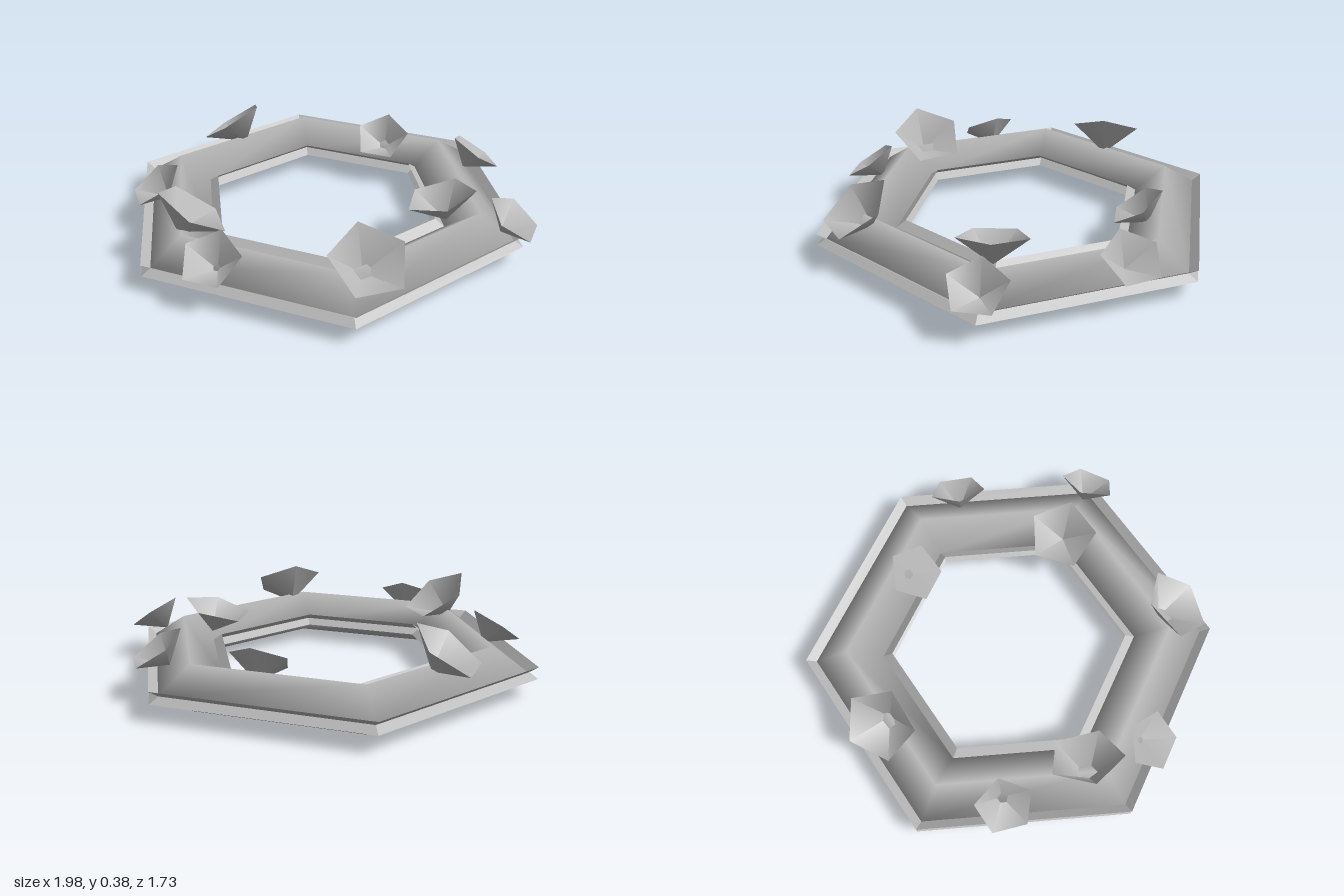
import * as THREE from 'three';

const grey = new THREE.MeshStandardMaterial({ color: 0xb8b8b8, side: THREE.DoubleSide });
grey.name = 'plain grey';

const MID_Y = 0.105;

// Flat-sided hexagonal band from a profile of [radius, y] points
function hexBand(name, points) {
  const profile = points.map(([r, y]) => new THREE.Vector2(r, y));
  const geometry = new THREE.LatheGeometry(profile, 6).rotateY(Math.PI / 2).toNonIndexed();
  geometry.computeVertexNormals();
  const mesh = new THREE.Mesh(geometry, grey);
  mesh.name = name;
  return mesh;
}

// Open five-sided cup: rim centre, direction it leans (nx, nz), rim radius, lean angle
function flower(x, y, z, nx, nz, radius, lean = 0.6) {
  const depth = radius * 0.75;
  const geometry = new THREE.ConeGeometry(radius, depth, 5, 1, true);
  geometry.rotateX(Math.PI).translate(0, -depth / 2, 0);
  const mesh = new THREE.Mesh(geometry, grey);
  mesh.name = 'flower';
  mesh.position.set(x, y, z);
  mesh.rotation.set(lean, Math.atan2(nx, nz), 0, 'YXZ');
  return mesh;
}

export function createModel() {
  const model = new THREE.Group();
  model.name = 'flowerWreath';

  // Smooth hexagonal ring with a diamond cross-section
  const ring = new THREE.Group();
  ring.name = 'ring';
  const bodyGeometry = new THREE.TorusGeometry(0.765, 0.16, 4, 6);
  bodyGeometry.scale(1, 1, MID_Y / 0.16).rotateX(Math.PI / 2).translate(0, MID_Y, 0);
  const body = new THREE.Mesh(bodyGeometry, grey);
  body.name = 'ringBody';
  ring.add(body);

  // V-shaped fins along the outer and inner edges
  ring.add(hexBand('outerUpperFin', [[0.925, MID_Y], [0.97, 0.135]]));
  ring.add(hexBand('outerLowerFin', [[0.97, 0.08], [0.925, MID_Y]]));
  ring.add(hexBand('innerUpperFin', [[0.56, 0.135], [0.605, MID_Y]]));
  ring.add(hexBand('innerLowerFin', [[0.605, MID_Y], [0.56, 0.08]]));
  ring.position.set(-0.03, 0, -0.03);
  model.add(ring);

  // Flowers scattered around the ring
  const flowers = new THREE.Group();
  flowers.name = 'flowers';
  [
    [0.08, 0.23, -0.58, 0, 1, 0.138],
    [0.57, 0.233, -0.6, 0.82, -0.57, 0.138],
    [0.89, 0.223, -0.025, 1, 0, 0.135],
    [0.55, 0.265, -0.02, -1, 0.15, 0.165, 0.27],
    [0.44, 0.28, 0.62, 0.65, 0.76, 0.175],
    [-0.67, 0.285, -0.37, -1, -0.03, 0.172],
    [-0.75, 0.223, 0.29, -0.77, 0.64, 0.137],
    [-0.41, 0.285, 0.525, 0.77, -0.64, 0.175],
    [-0.2, 0.22, 0.77, 0, 1, 0.138],
  ].forEach((spec) => flowers.add(flower(...spec)));
  model.add(flowers);

  return model;
}
